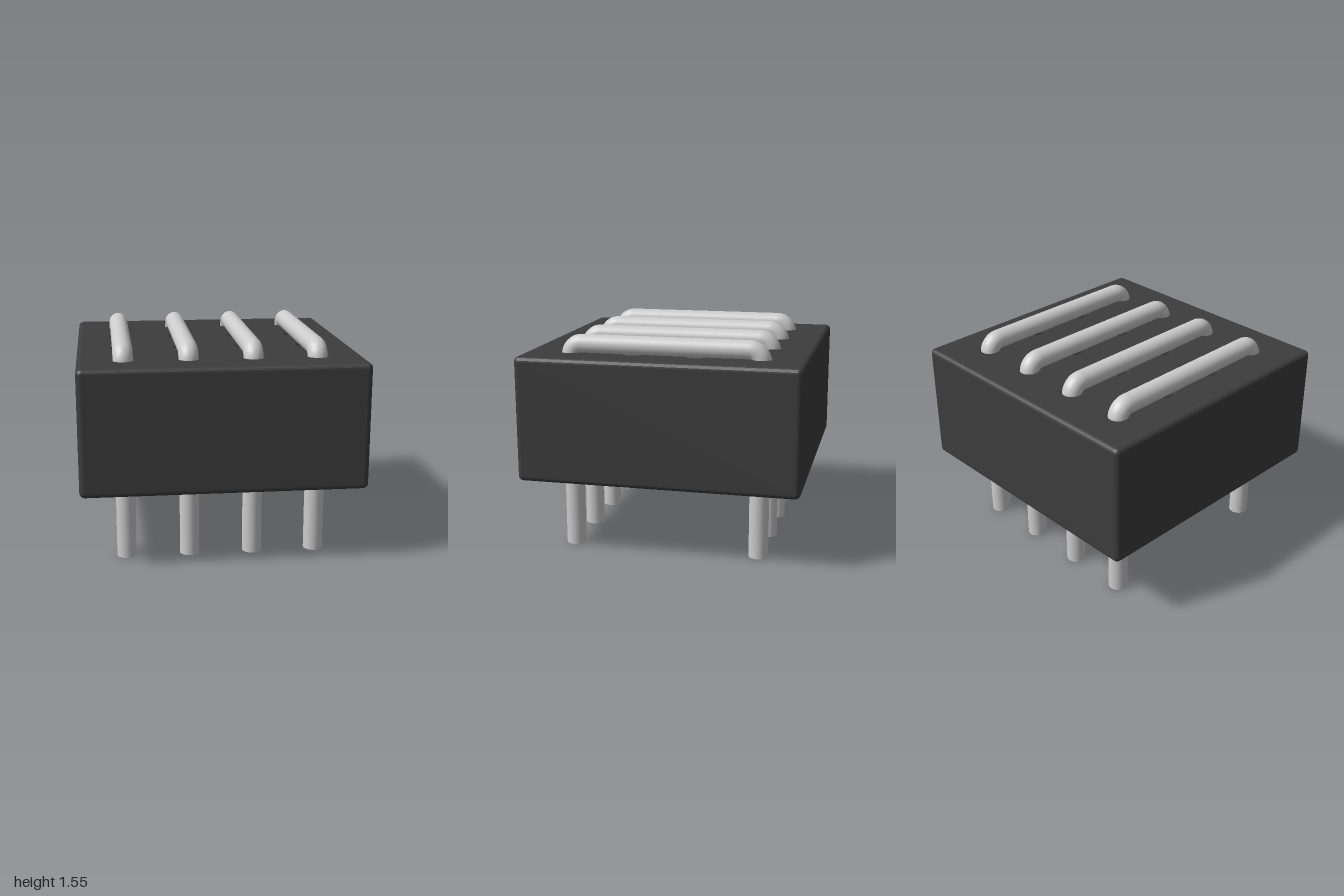
import * as THREE from 'three';

const GRID = [-0.68, -0.227, 0.227, 0.68]; // hole pitch, both ways
const BOTTOM = 0.54, TOP = 1.43;           // housing height range
const WIRE = 0.07, BEND = 0.08;            // wire radius, bend radius

// Rounded block with a 4 x 4 field of countersunk through holes
function makeHousing(material) {
  const bevel = 0.035, h = 1 - bevel, c = 0.005;
  const shape = new THREE.Shape();
  shape.moveTo(h - c, -h);
  shape.absarc(h - c, -h + c, c, -Math.PI / 2, 0);
  shape.absarc(h - c, h - c, c, 0, Math.PI / 2);
  shape.absarc(-h + c, h - c, c, Math.PI / 2, Math.PI);
  shape.absarc(-h + c, -h + c, c, Math.PI, Math.PI * 1.5);
  shape.closePath();
  for (const x of GRID) for (const y of GRID) {
    shape.holes.push(new THREE.Path().absarc(x, y, 0.09, 0, Math.PI * 2, true));
  }
  const geometry = new THREE.ExtrudeGeometry(shape, {
    depth: TOP - BOTTOM - 2 * bevel, curveSegments: 12,
    bevelSize: bevel, bevelThickness: bevel, bevelSegments: 5,
  });
  geometry.rotateX(-Math.PI / 2).translate(0, BOTTOM + bevel, 0);
  const housing = new THREE.Mesh(geometry, material);
  housing.name = 'housing';
  return housing;
}

// Staple-shaped wire: two legs, two quarter bends and a top bar
function makeWire(material) {
  const wire = new THREE.Group();
  const add = (geometry, name) => {
    const mesh = new THREE.Mesh(geometry, material);
    mesh.name = name;
    wire.add(mesh);
  };
  const legZ = GRID[3], bendZ = legZ - BEND, bendY = 1.485 - BEND;
  for (const s of [-1, 1]) {
    add(new THREE.CylinderGeometry(WIRE, WIRE, bendY, 32)
      .translate(0, bendY / 2, s * legZ), 'pin');
    add(new THREE.TorusGeometry(BEND, WIRE, 32, 12, Math.PI / 2)
      .rotateY(-s * Math.PI / 2).translate(0, bendY, s * bendZ), 'bend');
  }
  add(new THREE.CylinderGeometry(WIRE, WIRE, 2 * bendZ, 32, 1, true)
    .rotateX(Math.PI / 2).translate(0, bendY + BEND, 0), 'bar');
  return wire;
}

// Domed standoff with a small flat tip
function makeFoot(material) {
  const r = 0.125, profile = [new THREE.Vector2(0, -0.12)];
  for (let i = 0; i <= 10; i++) {
    const a = THREE.MathUtils.lerp(-Math.asin(0.12 / r), 0, i / 10);
    profile.push(new THREE.Vector2(r * Math.cos(a), r * Math.sin(a)));
  }
  return new THREE.Mesh(new THREE.LatheGeometry(profile, 32), material);
}

export function createModel() {
  const model = new THREE.Group();
  model.name = 'jumperBlock';
  const plastic = new THREE.MeshStandardMaterial({ color: 0x3d3d3d });
  const metal = new THREE.MeshStandardMaterial({ color: 0xcccccc });

  model.add(makeHousing(plastic));

  GRID.forEach((x, i) => {
    const wire = makeWire(metal);
    wire.name = 'wire' + (i + 1);
    wire.position.x = x;
    model.add(wire);
  });

  for (const x of [-0.453, 0.453]) for (const z of [-0.453, 0.453]) {
    const foot = makeFoot(plastic);
    foot.name = (z > 0 ? 'front' : 'back') + (x > 0 ? 'Left' : 'Right') + 'Foot';
    foot.position.set(x, 0.545, z);
    model.add(foot);
  }
  return model;
}
